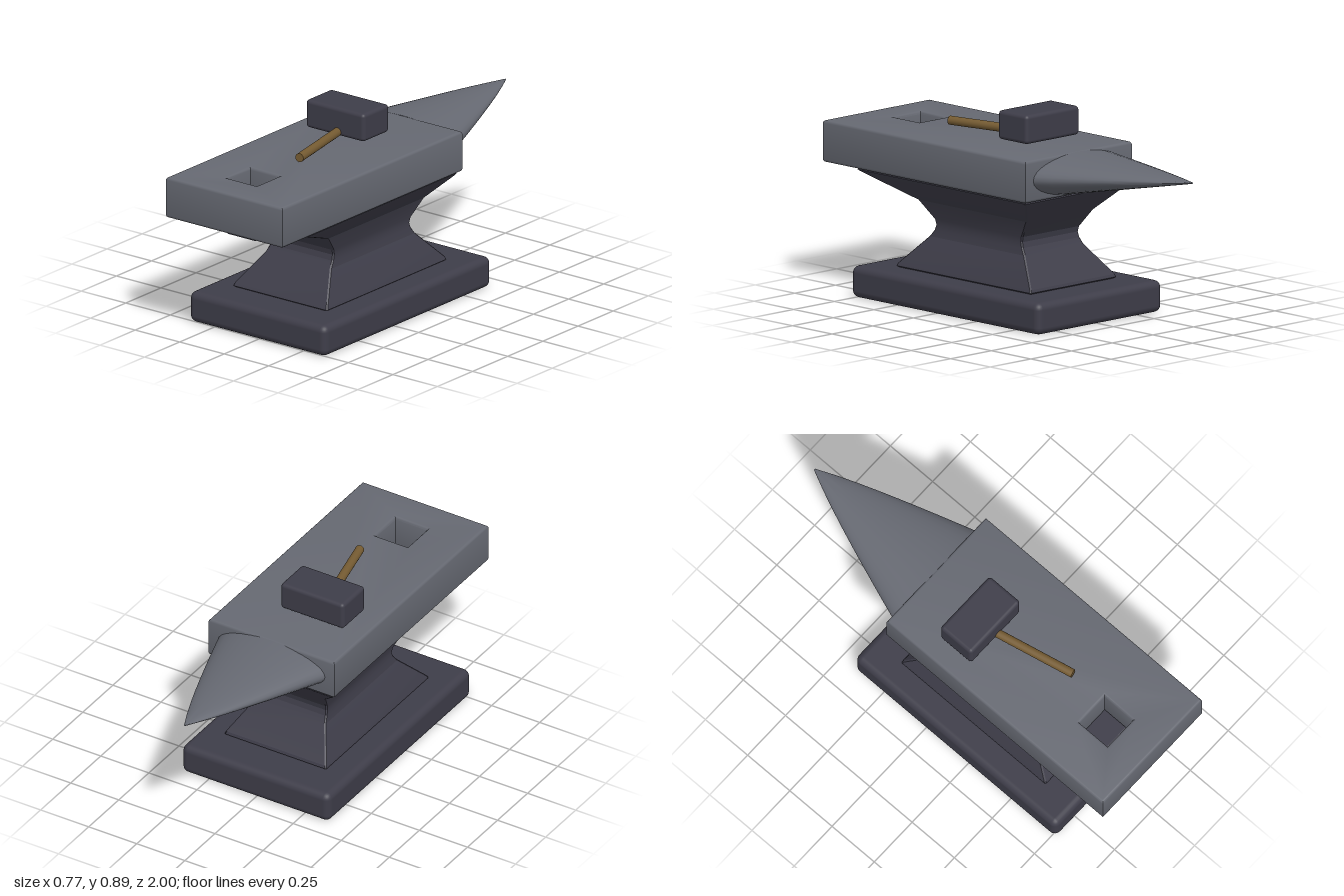
import * as THREE from 'three';
import { toCreasedNormals } from 'three/addons/utils/BufferGeometryUtils.js';
import { RoundedBoxGeometry } from 'three/addons/geometries/RoundedBoxGeometry.js';

const steel = new THREE.MeshStandardMaterial({ color: 0x666972 });
const darkIron = new THREE.MeshStandardMaterial({ color: 0x3e3d49 });
const darkPlate = new THREE.MeshStandardMaterial({ color: 0x3e3d49, side: THREE.DoubleSide });
const wood = new THREE.MeshStandardMaterial({ color: 0x755b32 });
steel.name = 'steel';
darkIron.name = 'darkIron';
darkPlate.name = 'darkIronPlate';
wood.name = 'wood';

function add(group, name, geometry, material) {
  const mesh = new THREE.Mesh(geometry, material);
  mesh.name = name;
  group.add(mesh);
  return mesh;
}

// Rounded box given by its limits
function boxBetween(x0, x1, y0, y1, z0, z1, radius) {
  return new RoundedBoxGeometry(x1 - x0, y1 - y0, z1 - z0, 3, radius)
    .translate((x0 + x1) / 2, (y0 + y1) / 2, (z0 + z1) / 2);
}

// Skin over rings of points that run anticlockwise about the direction of travel, with closed ends
function loft(rings, crease) {
  const n = rings[0].length;
  const index = [];
  for (let r = 0; r < rings.length - 1; r++) {
    for (let i = 0; i < n; i++) {
      const a = r * n + i, b = r * n + (i + 1) % n;
      index.push(a, b, b + n, a, b + n, a + n);
    }
  }
  const last = (rings.length - 1) * n;
  for (let i = 1; i < n - 1; i++) {
    index.push(0, i + 1, i, last, last + i, last + i + 1);
  }
  const geometry = new THREE.BufferGeometry();
  geometry.setAttribute('position', new THREE.Float32BufferAttribute(rings.flat(2), 3));
  geometry.setIndex(index);
  return toCreasedNormals(geometry, crease);
}

// Waist: rectangular sections with finely chamfered corners
function waistGeometry() {
  const sections = [ // y, half width, back z, front z
    [0.14, 0.25, -0.235, 0.59], [0.15, 0.265, -0.25, 0.605], [0.163, 0.26, -0.245, 0.597],
    [0.29, 0.184, -0.127, 0.475], [0.32, 0.177, -0.107, 0.452], [0.345, 0.175, -0.1, 0.444],
    [0.37, 0.178, -0.106, 0.45], [0.45, 0.206, -0.165, 0.525],
    [0.55, 0.304, -0.26, 0.778], [0.56, 0.31, -0.267, 0.805], [0.567, 0.3, -0.258, 0.79],
  ];
  const c = 0.006;
  return loft(sections.map(([y, w, back, front]) => [
    [-w + c, y, front], [w - c, y, front], [w, y, front - c], [w, y, back + c],
    [w - c, y, back], [-w + c, y, back], [-w, y, back + c], [-w, y, front - c],
  ]), 0.3);
}

// Horn: elliptical sections shrinking to a raised tip
function hornGeometry() {
  const steps = 8, sides = 32, rings = [];
  for (let s = 0; s <= steps; s++) {
    const t = s / steps, u = 1 - t;
    const rx = Math.max(0.28 * Math.pow(u, 0.87), 0.004);
    const ry = 0.003 + 0.09 * u;
    const cy = 0.6615 + 0.0585 * t;
    const ring = [];
    for (let i = 0; i < sides; i++) {
      const a = (i / sides) * Math.PI * 2;
      ring.push([Math.sin(a) * rx, cy + Math.cos(a) * ry, -0.275 - 0.725 * t]);
    }
    rings.push(ring);
  }
  return loft(rings, 0.7);
}

// Body: bevelled slab with a square hole right through it
function bodyGeometry() {
  const rect = (path, x0, x1, z0, z1) =>
    path.moveTo(x0, -z1).lineTo(x1, -z1).lineTo(x1, -z0).lineTo(x0, -z0).closePath();
  const shape = new THREE.Shape();
  const hole = new THREE.Path();
  rect(shape, -0.327, 0.327, -0.28, 1);
  rect(hole, -0.113, 0.053, 0.67, 0.836);
  shape.holes.push(hole);
  const b = 0.013;
  const geometry = new THREE.ExtrudeGeometry(shape, {
    depth: 0.189 - 2 * b, bevelEnabled: true, bevelSize: b, bevelThickness: b,
    bevelOffset: -b, bevelSegments: 3,
  });
  geometry.rotateX(-Math.PI / 2).translate(0, 0.566 + b, 0);
  return toCreasedNormals(geometry, 0.6);
}

export function createModel() {
  const model = new THREE.Group();
  model.name = 'anvilWithHammer';

  const anvil = new THREE.Group();
  anvil.name = 'anvil';
  add(anvil, 'base', boxBetween(-0.384, 0.384, 0, 0.143, -0.42, 0.77, 0.032), darkIron);
  add(anvil, 'waist', waistGeometry(), darkIron);
  add(anvil, 'body', bodyGeometry(), steel);
  add(anvil, 'horn', hornGeometry(), steel);

  // Thin plate hanging under the square hole
  const plate = new THREE.PlaneGeometry(0.16, 0.16).rotateX(-Math.PI / 2);
  add(anvil, 'holePlate', plate, darkPlate).position.set(-0.03, 0.495, 0.762);

  const hammer = new THREE.Group();
  hammer.name = 'hammer';
  add(hammer, 'hammerHead', boxBetween(-0.23, 0.098, 0.765, 0.895, -0.052, 0.132, 0.017), darkIron);

  // Handle lies at a slight angle, its end inside the head
  const start = new THREE.Vector3(-0.073, 0.783, 0.025);
  const end = new THREE.Vector3(0.03, 0.785, 0.503);
  const along = end.clone().sub(start);
  const handle = add(hammer, 'hammerHandle',
    new THREE.CylinderGeometry(0.02, 0.02, along.length(), 16), wood);
  handle.position.copy(start).add(end).multiplyScalar(0.5);
  handle.quaternion.setFromUnitVectors(new THREE.Vector3(0, 1, 0), along.normalize());

  model.add(anvil, hammer);
  return model;
}
